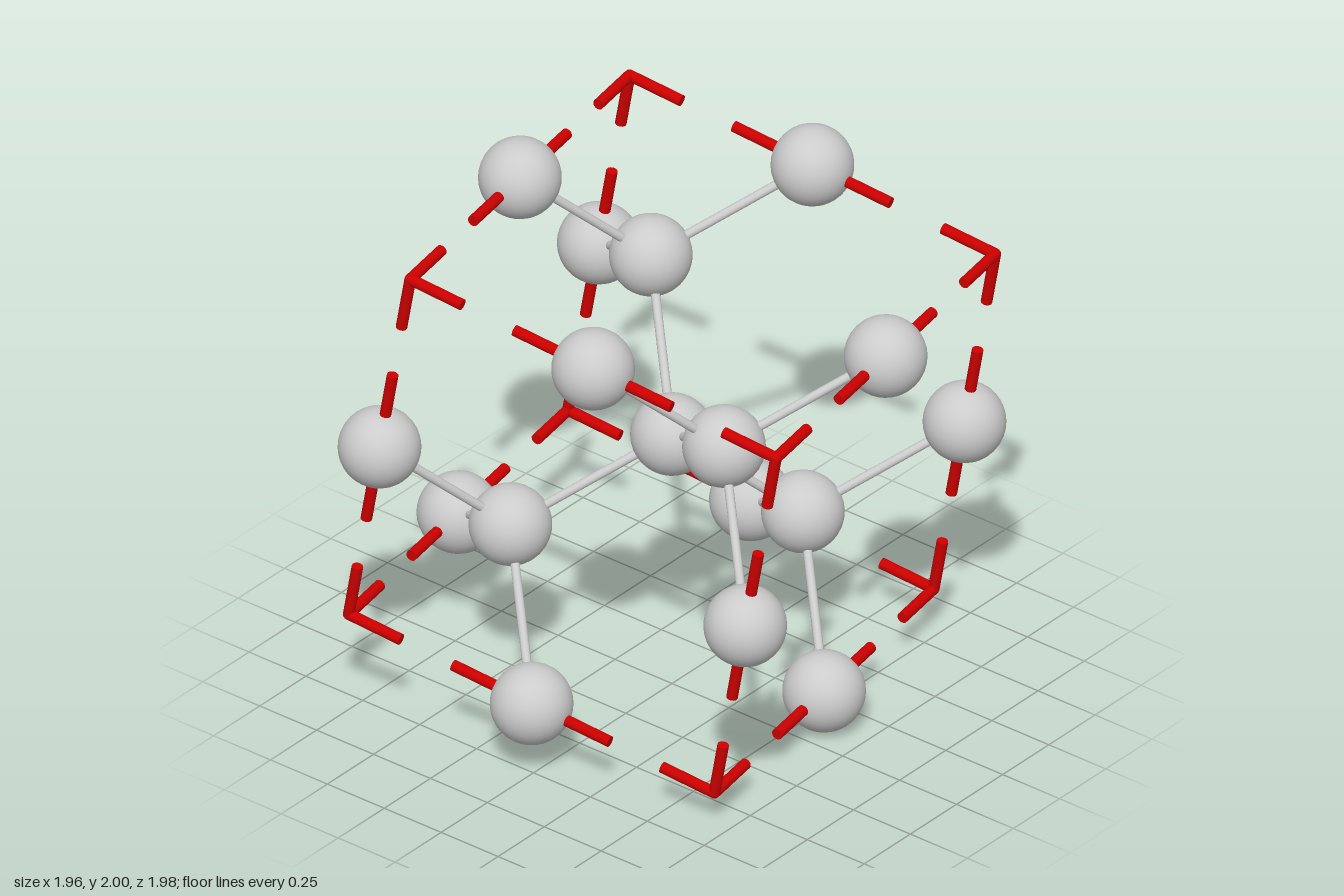
import * as THREE from 'three';

const EDGE = 1.47;          // cube edge length
const H = EDGE / 2;         // half edge
const Q = EDGE / 4;         // inner atom offset
const ATOM_R = 0.143;
const BOND_R = 0.016;
const DASH_R = 0.02;

const grey = new THREE.MeshStandardMaterial({ color: 0xcccccc });
const red = new THREE.MeshStandardMaterial({ color: 0xcc0000 });
const UP = new THREE.Vector3(0, 1, 0);

// Round rod between two points
function rod(name, a, b, radius, material) {
  const dir = b.clone().sub(a);
  const mesh = new THREE.Mesh(
    new THREE.CylinderGeometry(radius, radius, dir.length(), 16), material);
  mesh.position.copy(a).add(b).multiplyScalar(0.5);
  mesh.quaternion.setFromUnitVectors(UP, dir.normalize());
  mesh.name = name;
  return mesh;
}

function ball(name, position, radius, material, segments) {
  const mesh = new THREE.Mesh(
    new THREE.SphereGeometry(radius, segments, segments / 2), material);
  mesh.position.copy(position);
  mesh.name = name;
  return mesh;
}

export function createModel() {
  const model = new THREE.Group();
  model.name = 'crystalUnitCell';
  const cell = new THREE.Group();
  cell.name = 'tiltedCell';
  cell.position.y = 1;
  cell.rotation.set(0.185, 0.15, 0);
  model.add(cell);

  const atoms = new THREE.Group();
  atoms.name = 'atoms';
  const bonds = new THREE.Group();
  bonds.name = 'bonds';
  const frame = new THREE.Group();
  frame.name = 'dashedCubeFrame';
  cell.add(atoms, bonds, frame);

  // Cube edges: corner stub, gap, long middle dash, gap, corner stub
  const dashes = [[0, 1 / 7], [2 / 7, 5 / 7], [6 / 7, 1]];
  for (let axis = 0; axis < 3; axis++) {
    for (const s of [-1, 1]) for (const t of [-1, 1]) {
      const a = new THREE.Vector3();
      a.setComponent((axis + 1) % 3, s * H);
      a.setComponent((axis + 2) % 3, t * H);
      atoms.add(ball('edgeAtom', a, ATOM_R, grey, 40));
      const b = a.clone().setComponent(axis, H);
      a.setComponent(axis, -H);
      for (const [u, v] of dashes) {
        frame.add(rod('edgeDash', a.clone().lerp(b, u), a.clone().lerp(b, v), DASH_R, red));
      }
    }
  }

  // Rounded joints at the cube corners
  for (const x of [-H, H]) for (const y of [-H, H]) for (const z of [-H, H]) {
    frame.add(ball('cornerJoint', new THREE.Vector3(x, y, z), DASH_R, red, 16));
  }

  // Centre atom and its four tetrahedral neighbours
  const centre = new THREE.Vector3();
  atoms.add(ball('centreAtom', centre, ATOM_R, grey, 40));
  for (const signs of [[-1, 1, 1], [1, 1, -1], [-1, -1, -1], [1, -1, 1]]) {
    const inner = new THREE.Vector3(...signs).multiplyScalar(Q);
    atoms.add(ball('innerAtom', inner, ATOM_R, grey, 40));
    bonds.add(rod('centreBond', centre, inner, BOND_R, grey));
    // Bonds out to the three nearest edge atoms
    for (let axis = 0; axis < 3; axis++) {
      const outer = inner.clone().multiplyScalar(2).setComponent(axis, 0);
      bonds.add(rod('outerBond', inner, outer, BOND_R, grey));
    }
  }
  return model;
}
